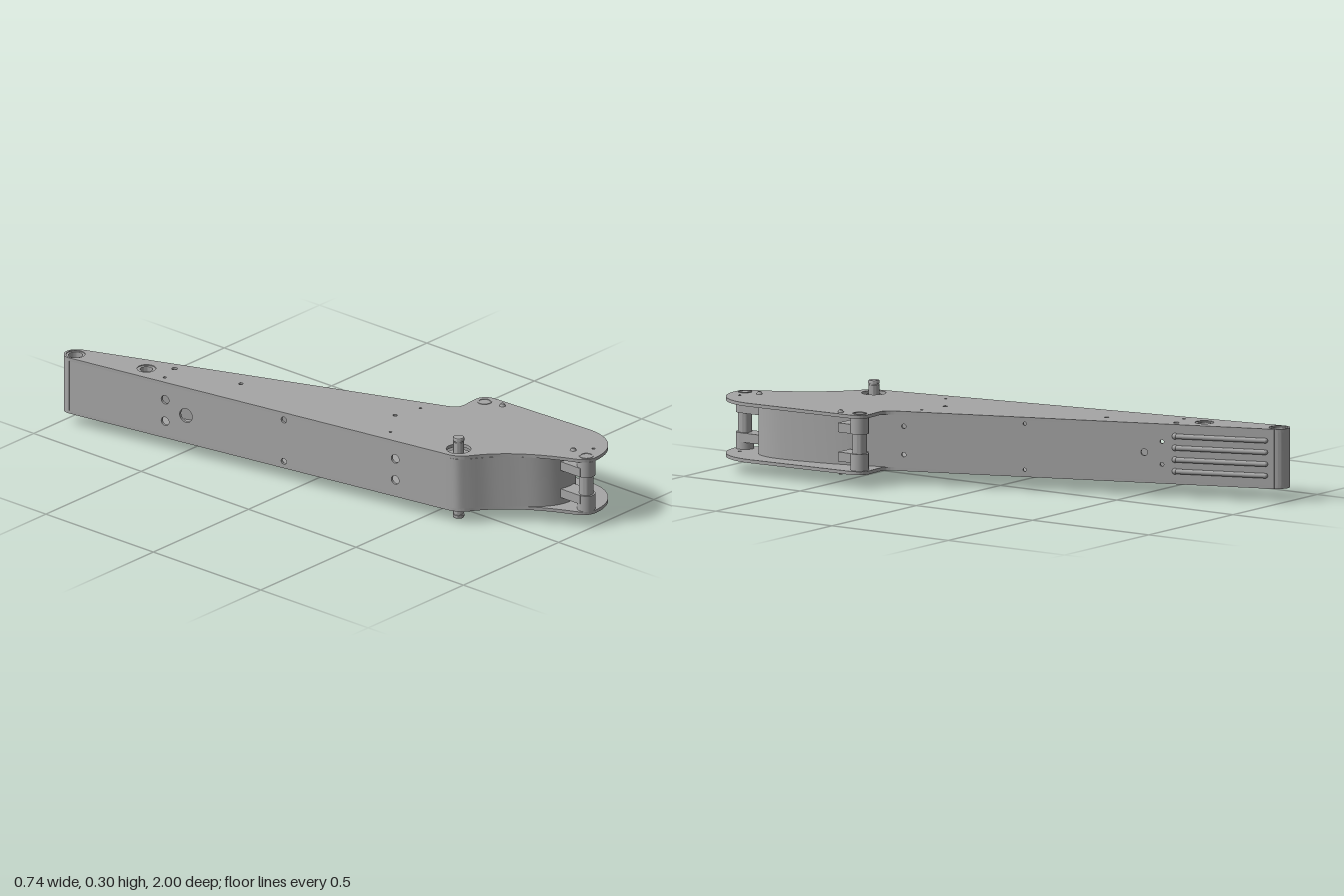
import * as THREE from 'three';
import { toCreasedNormals } from 'three/addons/utils/BufferGeometryUtils.js';

export function createModel() {
  const model = new THREE.Group();
  model.name = 'swingArm';
  const metal = new THREE.MeshStandardMaterial({ color: 0xa6a6a6 });
  metal.name = 'grey metal';

  const LOW = 0.047, HIGH = 0.258, THICK = 0.012;
  const wallLow = LOW + THICK, wallHigh = HIGH - THICK;

  const add = (name, geometry, x = 0, y = 0, z = 0, parent = model) => {
    const mesh = new THREE.Mesh(geometry, metal);
    mesh.name = name;
    mesh.position.set(x, y, z);
    parent.add(mesh);
    return mesh;
  };
  const circle = (x, y, r) => new THREE.Path().absarc(x, y, r, 0, Math.PI * 2, true);
  // Plan shapes hold (x, -z) and are raised along y
  const raise = (shape, y0, y1) => {
    const g = new THREE.ExtrudeGeometry(shape, { depth: y1 - y0, bevelEnabled: false, curveSegments: 20 });
    return toCreasedNormals(g.rotateX(-Math.PI / 2).translate(0, y0, 0), 0.6);
  };
  const rod = (name, x, z, r, y0, y1) =>
    add(name, new THREE.CylinderGeometry(r, r, y1 - y0, 28), x, (y0 + y1) / 2, z);
  const tube = (name, x, z, outer, inner, y0, y1) => {
    const s = new THREE.Shape().absarc(x, -z, outer, 0, Math.PI * 2, false);
    s.holes.push(circle(x, -z, inner));
    return add(name, raise(s, y0, y1));
  };

  // Upper and lower plates with shared outline and holes
  const outline = new THREE.Shape();
  outline.moveTo(-0.368, 0.95);
  outline.lineTo(-0.126, -0.59);
  outline.quadraticCurveTo(-0.12, -0.635, -0.09, -0.655);
  outline.bezierCurveTo(0.0, -0.71, 0.075, -0.8, 0.135, -0.945);
  outline.quadraticCurveTo(0.155, -0.998, 0.2, -0.998);
  outline.bezierCurveTo(0.3, -0.995, 0.37, -0.92, 0.366, -0.81);
  outline.lineTo(0.35, -0.4);
  outline.quadraticCurveTo(0.348, -0.345, 0.3, -0.346);
  outline.lineTo(0.235, -0.35);
  outline.quadraticCurveTo(0.205, -0.35, 0.19, -0.31);
  outline.lineTo(-0.285, 0.97);
  outline.absarc(-0.328, 0.958, 0.041, 0.3, Math.PI + 0.16, false);
  outline.closePath();
  const plateHoles = [
    [-0.328, -0.958, 0.033], [-0.258, -0.69, 0.033], [-0.063, 0.59, 0.043],
    [-0.14, -0.355, 0.008], [0.01, 0.23, 0.008], [0.25, 0.94, 0.006],
    [-0.195, -0.615, 0.01], [-0.275, -0.59, 0.006], [0.115, 0.255, 0.005], [-0.11, 0.315, 0.005],
  ];
  for (const [x, z, r] of plateHoles) outline.holes.push(circle(x, -z, r));
  add('lowerPlate', raise(outline, LOW, LOW + THICK));
  add('upperPlate', raise(outline, HIGH - THICK, HIGH));

  // Through bushings
  tube('tipBushing', -0.328, -0.958, 0.033, 0.025, LOW + 0.003, HIGH - 0.003);
  tube('innerBushing', -0.258, -0.69, 0.033, 0.022, LOW + 0.003, HIGH - 0.003);

  // Flat side panels: a and b are [x, z]; holes are [z, y, radius]
  const sidePanel = (name, a, b, holes) => {
    const dx = b[0] - a[0], dz = b[1] - a[1], length = Math.hypot(dx, dz);
    const s = new THREE.Shape([[0, wallLow], [length, wallLow], [length, wallHigh], [0, wallHigh]]
      .map(p => new THREE.Vector2(...p)));
    for (const [z, y, r] of holes) s.holes.push(circle((z - a[1]) / dz * length, y, r));
    const group = new THREE.Group();
    group.name = name;
    group.position.set(a[0], 0, a[1]);
    group.rotation.y = -Math.atan2(dz, dx);
    const g = new THREE.ExtrudeGeometry(s, { depth: 0.01, bevelEnabled: false, curveSegments: 16 });
    add(name + 'Sheet', g, 0, 0, -0.01, group);
    model.add(group);
    return { group, along: z => (z - a[1]) / dz * length };
  };
  sidePanel('rightPanel', [-0.368, -0.95], [-0.126, 0.59], [
    [-0.475, 0.152, 0.026], [-0.56, 0.192, 0.016], [-0.56, 0.11, 0.016],
    [-0.075, 0.23, 0.011], [-0.075, 0.073, 0.011], [0.38, 0.19, 0.016], [0.38, 0.11, 0.016],
  ]);
  const left = sidePanel('leftPanel', [0.19, 0.31], [-0.285, -0.97], [
    [0.285, 0.205, 0.008], [0.285, 0.105, 0.008], [-0.125, 0.235, 0.006], [-0.125, 0.072, 0.006],
    [-0.53, 0.155, 0.012], [-0.59, 0.195, 0.007], [-0.59, 0.115, 0.007],
  ]);

  // Four raised ribs near the tip, each starting at a round boss
  const ribStart = left.along(-0.635), ribEnd = left.along(-0.95);
  for (const y of [0.093, 0.134, 0.176, 0.217]) {
    const rib = new THREE.CapsuleGeometry(0.009, ribEnd - ribStart - 0.018, 6, 14).rotateZ(Math.PI / 2);
    add('tipRib', rib, (ribStart + ribEnd) / 2, y, 0.005, left.group);
    add('ribBoss', new THREE.SphereGeometry(0.011, 14, 8), ribStart, y, 0.002, left.group);
  }

  // Thin curved walls from plan points [x, z], smoothed into a ribbon
  const curvedWall = (name, points) => {
    const curve = new THREE.CatmullRomCurve3(points.map(([x, z]) => new THREE.Vector3(x, -z, 0)), false, 'centripetal');
    const outer = [], inner = [];
    for (let i = 0; i <= 48; i++) {
      const p = curve.getPoint(i / 48), t = curve.getTangent(i / 48);
      outer.push(new THREE.Vector2(p.x, p.y));
      inner.unshift(new THREE.Vector2(p.x - t.y * 0.01, p.y + t.x * 0.01));
    }
    add(name, raise(new THREE.Shape([...outer, ...inner]), wallLow, wallHigh));
  };
  const tip = [];
  for (let i = 0; i <= 10; i++) {
    const a = 0.3 + (Math.PI - 0.14) * i / 10;
    tip.push([-0.328 + 0.041 * Math.cos(a), -0.958 - 0.041 * Math.sin(a)]);
  }
  curvedWall('tipWall', tip);
  curvedWall('frontWall', [
    [-0.126, 0.59], [-0.116, 0.63], [-0.09, 0.655], [-0.03, 0.7], [0.03, 0.764], [0.09, 0.835],
    [0.15, 0.873], [0.21, 0.88], [0.262, 0.848], [0.288, 0.78], [0.286, 0.68], [0.255, 0.5],
    [0.215, 0.38], [0.19, 0.31],
  ]);

  // Two posts in the open end, with spacer blocks reaching back to the wall
  const posts = [
    { x: 0.185, z: 0.965, bx: 0.185, bz: 0.92, w: 0.066, d: 0.09 },
    { x: 0.305, z: 0.385, bx: 0.295, bz: 0.42, w: 0.07, d: 0.08 },
  ];
  for (const p of posts) {
    rod('post', p.x, p.z, 0.018, wallLow, wallHigh);
    for (const [y0, y1] of [[wallLow, 0.118], [0.188, wallHigh]]) {
      rod('postCollar', p.x, p.z, 0.032, y0, y1);
      add('spacerBlock', new THREE.BoxGeometry(p.w, 0.033, p.d), p.bx, y0 < 0.1 ? y1 - 0.0165 : y0 + 0.0165, p.bz);
    }
    tube('postRing', p.x, p.z, 0.025, 0.02, LOW - 0.002, HIGH + 0.002);
  }

  // Bolt heads on both plates
  for (const [x, z] of [[0.193, 0.897], [0.32, 0.455]]) {
    for (const side of [1, -1]) {
      const g = new THREE.CylinderGeometry(0.006, 0.011, 0.009, 20);
      if (side < 0) g.rotateX(Math.PI);
      add('boltHead', g, x, side > 0 ? HIGH + 0.0045 : LOW - 0.0045, z);
    }
  }

  // Pivot spindle with grooved ends, seated in recessed bearings
  const profile = [[0, 0], [0.018, 0], [0.02, 0.003], [0.02, 0.012], [0.016, 0.012], [0.016, 0.016],
    [0.019, 0.016], [0.019, 0.287], [0.016, 0.287], [0.016, 0.291], [0.02, 0.291], [0.02, 0.3],
    [0.018, 0.303], [0, 0.303]].map(p => new THREE.Vector2(...p));
  add('pivotSpindle', toCreasedNormals(new THREE.LatheGeometry(profile, 32), 0.6), -0.063, 0, 0.59);
  rod('pivotBearing', -0.063, 0.59, 0.043, LOW + 0.02, HIGH - 0.02);

  return model;
}
